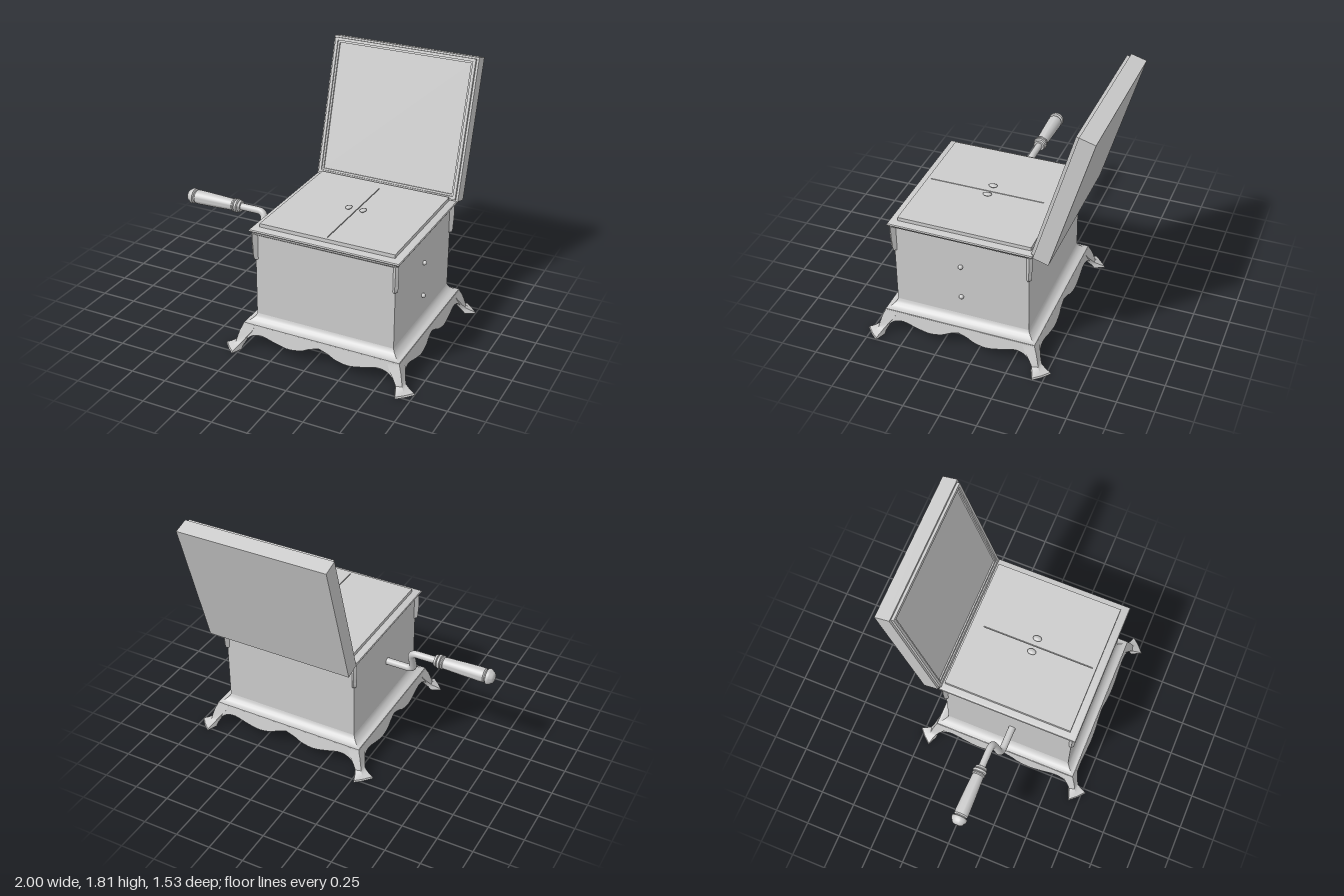
import * as THREE from 'three';
import { toCreasedNormals, mergeVertices } from 'three/addons/utils/BufferGeometryUtils.js';

const HX = 0.495, HZ = 0.465; // half sizes of the cabinet
const material = new THREE.MeshStandardMaterial({ color: 0xcccccc });

function add(parent, name, geometry, x = 0, y = 0, z = 0) {
  const mesh = new THREE.Mesh(geometry, material);
  mesh.name = name;
  mesh.position.set(x, y, z);
  parent.add(mesh);
  return mesh;
}

// Closed skin over rings of [x, y, z] points, from bottom to top,
// each ring running anticlockwise as seen from above
function loft(rings, crease = 0.6) {
  const n = rings[0].length, index = [];
  for (let r = 0; r < rings.length - 1; r++) {
    for (let i = 0; i < n; i++) {
      const a = r * n + i, b = r * n + (i + 1) % n;
      index.push(a, b, b + n, a, b + n, a + n);
    }
  }
  const top = (rings.length - 1) * n;
  for (let i = 1; i < n - 1; i++) {
    index.push(0, i + 1, i, top, top + i, top + i + 1);
  }
  const g = new THREE.BufferGeometry();
  g.setAttribute('position', new THREE.Float32BufferAttribute(rings.flat(2), 3));
  g.setIndex(index);
  return toCreasedNormals(g, crease);
}

// Rectangular moulding: profile of [offset from cabinet wall, y]
const moulding = (profile) => loft(profile.map(([o, y]) => {
  const x = HX + o, z = HZ + o * 0.95;
  return [[x, y, z], [x, y, -z], [-x, y, -z], [-x, y, z]];
}));

function rect(x0, y0, x1, y1, Type = THREE.Shape) {
  return new Type([[x0, y0], [x1, y0], [x1, y1], [x0, y1]].map((p) => new THREE.Vector2(...p)));
}

function frame(outer, hole, depth) {
  outer.holes.push(hole);
  return new THREE.ExtrudeGeometry(outer, { depth, bevelEnabled: false });
}

// Scalloped apron board, leaning slightly outwards at its lower edge
function apronGeometry(half, distance) {
  const side = [[0.12, 0.117], [0.22, 0.092], [0.38, 0.078], [0.55, 0.093],
    [0.74, 0.118], [0.86, 0.107], [0.94, 0.075]];
  const edge = [...side.map(([t, y]) => [-t, y]).reverse(), [0, 0.137], ...side];
  const pts = edge.map(([t, y]) => new THREE.Vector2(t * half, y));
  const curve = (p) => new THREE.SplineCurve(p).getPoints(24);
  const lower = [...curve(pts.slice(0, 8)), ...curve(pts.slice(7)).slice(1)];
  const shape = new THREE.Shape([...lower,
    new THREE.Vector2(half * 0.94, 0.18), new THREE.Vector2(-half * 0.94, 0.18)]);
  const g = new THREE.ExtrudeGeometry(shape, { depth: 0.03, bevelEnabled: false });
  const p = g.attributes.position;
  for (let i = 0; i < p.count; i++) {
    p.setZ(i, p.getZ(i) + distance - 0.03 + (0.18 - p.getY(i)) * 0.2);
  }
  return toCreasedNormals(g, 0.5);
}

// Splayed foot on a diagonal: [y, ridge, side, side width, inner, inner width]
function footGeometry(sx, sz) {
  const u = [sx * Math.SQRT1_2, sz * Math.SQRT1_2], v = [u[1], -u[0]];
  const at = (d, w, y) => [sx * 0.565 + u[0] * d + v[0] * w, y, sz * 0.53 + u[1] * d + v[1] * w];
  const sections = [
    [0, 0.11, 0.105, 0.07, 0.03, 0.04],
    [0.012, 0.105, 0.1, 0.066, 0.025, 0.038],
    [0.025, 0.08, 0.07, 0.05, 0.015, 0.03],
    [0.045, 0.057, 0.035, 0.036, -0.005, 0.025],
    [0.08, 0.046, 0.005, 0.042, -0.03, 0.025],
    [0.13, 0.027, -0.035, 0.056, -0.08, 0.03],
    [0.165, 0.006, -0.056, 0.06, -0.1, 0.03],
    [0.18, 0, -0.06, 0.06, -0.1, 0.03],
  ];
  return loft(sections.map(([y, r, s, sw, n, nw]) =>
    [at(r, 0, y), at(s, sw, y), at(n, nw, y), at(n, -nw, y), at(s, -sw, y)]), 0.5);
}

function createCabinet() {
  const cabinet = new THREE.Group();
  cabinet.name = 'cabinet';
  add(cabinet, 'body', new THREE.BoxGeometry(HX * 2, 0.66, HZ * 2), 0, 0.53, 0);
  add(cabinet, 'baseMoulding', moulding([[0.066, 0.145], [0.07, 0.175], [0.067, 0.183],
    [0.052, 0.188], [0.032, 0.197], [0.015, 0.212], [0.005, 0.226], [0, 0.24]]));
  add(cabinet, 'rimMoulding', moulding([[0, 0.825], [0.012, 0.835], [0.017, 0.85],
    [0.03, 0.855], [0.034, 0.862], [0.03, 0.87], [0.018, 0.875]]));

  // Apron boards and corner feet
  for (let k = 0; k < 4; k++) {
    const g = k % 2 ? apronGeometry(0.53, 0.565) : apronGeometry(0.565, 0.53);
    add(cabinet, 'apron', g).rotation.y = k * Math.PI / 2;
  }

  // Slim bracket standing out from each corner under the rim
  const bracket = new THREE.Shape();
  bracket.moveTo(-0.03, 0.84);
  bracket.lineTo(-0.03, 0.65);
  bracket.lineTo(0.008, 0.65);
  bracket.quadraticCurveTo(0.02, 0.66, 0.019, 0.7);
  bracket.quadraticCurveTo(0.026, 0.78, 0.022, 0.84);
  const bracketGeometry = new THREE.ExtrudeGeometry(bracket, { depth: 0.024, bevelEnabled: false });
  bracketGeometry.translate(0, 0, -0.012);
  for (const sx of [-1, 1]) {
    for (const sz of [-1, 1]) {
      add(cabinet, 'foot', footGeometry(sx, sz));
      add(cabinet, 'cornerBracket', bracketGeometry, sx * HX, 0, sz * HZ).rotation.y = Math.atan2(-sz, sx);
    }
  }

  // Raised deck with a slot between its two leaves
  const deck = frame(rect(-0.477, -0.44, 0.477, 0.472), rect(-0.003, -0.415, 0.003, 0.385, THREE.Path), 0.035);
  deck.rotateX(-Math.PI / 2);
  add(cabinet, 'deck', deck, 0, 0.865, 0);
  const pull = new THREE.LatheGeometry([[0.008, 0], [0.008, 0.01], [0.02, 0.012], [0.022, 0.017],
    [0.012, 0.022], [0, 0.024]].map((p) => new THREE.Vector2(...p)), 20);
  for (const x of [-0.052, 0.052]) {
    add(cabinet, 'deckPull', pull, x, 0.898, -0.01).scale.z = 1.4;
  }

  // Side buttons
  for (const y of [0.39, 0.635]) {
    add(cabinet, 'sideButton', new THREE.SphereGeometry(0.016, 20, 14), HX + 0.008, y, 0);
  }
  return cabinet;
}

function createLid() {
  const lid = new THREE.Group();
  lid.name = 'lid';
  add(lid, 'lidBack', new THREE.BoxGeometry(1.06, 0.98, 0.078), 0, 0.49, -0.069);
  add(lid, 'lidFrame', frame(rect(-0.53, 0, 0.53, 0.98), rect(-0.5, 0.03, 0.5, 0.95, THREE.Path), 0.03), 0, 0, -0.03);
  add(lid, 'lidLip', frame(rect(-0.515, 0.012, 0.515, 0.968), rect(-0.495, 0.032, 0.495, 0.948, THREE.Path), 0.02));
  add(lid, 'lidInnerStep', frame(rect(-0.51, 0.02, 0.51, 0.96), rect(-0.482, 0.045, 0.482, 0.935, THREE.Path), 0.03), 0, 0, -0.02);
  add(lid, 'lidLining', new THREE.BoxGeometry(1, 0.92, 0.03), 0, 0.49, -0.016);
  for (const x of [-0.325, 0.285]) {
    add(lid, 'hinge', new THREE.CylinderGeometry(0.009, 0.009, 0.12, 12), x, 0.012, 0.012).rotation.z = Math.PI / 2;
  }
  lid.position.set(0.315, 0.865, -0.375);
  lid.rotation.x = -0.285;
  return lid;
}

function createCrank() {
  const crank = new THREE.Group();
  crank.name = 'crank';
  // Bent arm: straight runs joined by rounded corners
  const P = (x, y, z) => new THREE.Vector3(x, y, z);
  const path = new THREE.CurvePath();
  path.add(new THREE.LineCurve3(P(-0.17, 0.545, 0.155), P(-0.33, 0.545, 0.155)));
  path.add(new THREE.QuadraticBezierCurve3(P(-0.33, 0.545, 0.155), P(-0.385, 0.545, 0.155), P(-0.385, 0.597, 0.137)));
  path.add(new THREE.LineCurve3(P(-0.385, 0.597, 0.137), P(-0.385, 0.673, 0.11)));
  path.add(new THREE.QuadraticBezierCurve3(P(-0.385, 0.673, 0.11), P(-0.385, 0.725, 0.092), P(-0.44, 0.725, 0.092)));
  path.add(new THREE.LineCurve3(P(-0.44, 0.725, 0.092), P(-0.58, 0.725, 0.092)));
  add(crank, 'crankArm', new THREE.TubeGeometry(path, 72, 0.025, 16));

  // Turned handle with collar rings and an end knob
  const profile = [[0, 0], [0.038, 0], [0.042, 0.006], [0.042, 0.016], [0.036, 0.02], [0.048, 0.026],
    [0.05, 0.034], [0.047, 0.042], [0.039, 0.046], [0.047, 0.052], [0.047, 0.06], [0.04, 0.066],
    [0.041, 0.075], [0.046, 0.2], [0.05, 0.33], [0.049, 0.358], [0.04, 0.366], [0.04, 0.372],
    [0.053, 0.378], [0.055, 0.392], [0.05, 0.402], [0.043, 0.41], [0.038, 0.42], [0.024, 0.427], [0, 0.43]];
  const handle = new THREE.LatheGeometry(profile.map((p) => new THREE.Vector2(...p)), 32);
  handle.deleteAttribute('uv');
  handle.deleteAttribute('normal');
  const smooth = toCreasedNormals(mergeVertices(handle), 0.7);
  add(crank, 'crankHandle', smooth, -0.57, 0.725, 0.092).rotation.z = Math.PI / 2;
  return crank;
}

export function createModel() {
  const model = new THREE.Group();
  model.name = 'crankCabinet';
  const cabinet = createCabinet();
  cabinet.position.set(0.315, 0, 0.125);
  model.add(cabinet, createLid(), createCrank());
  return model;
}
